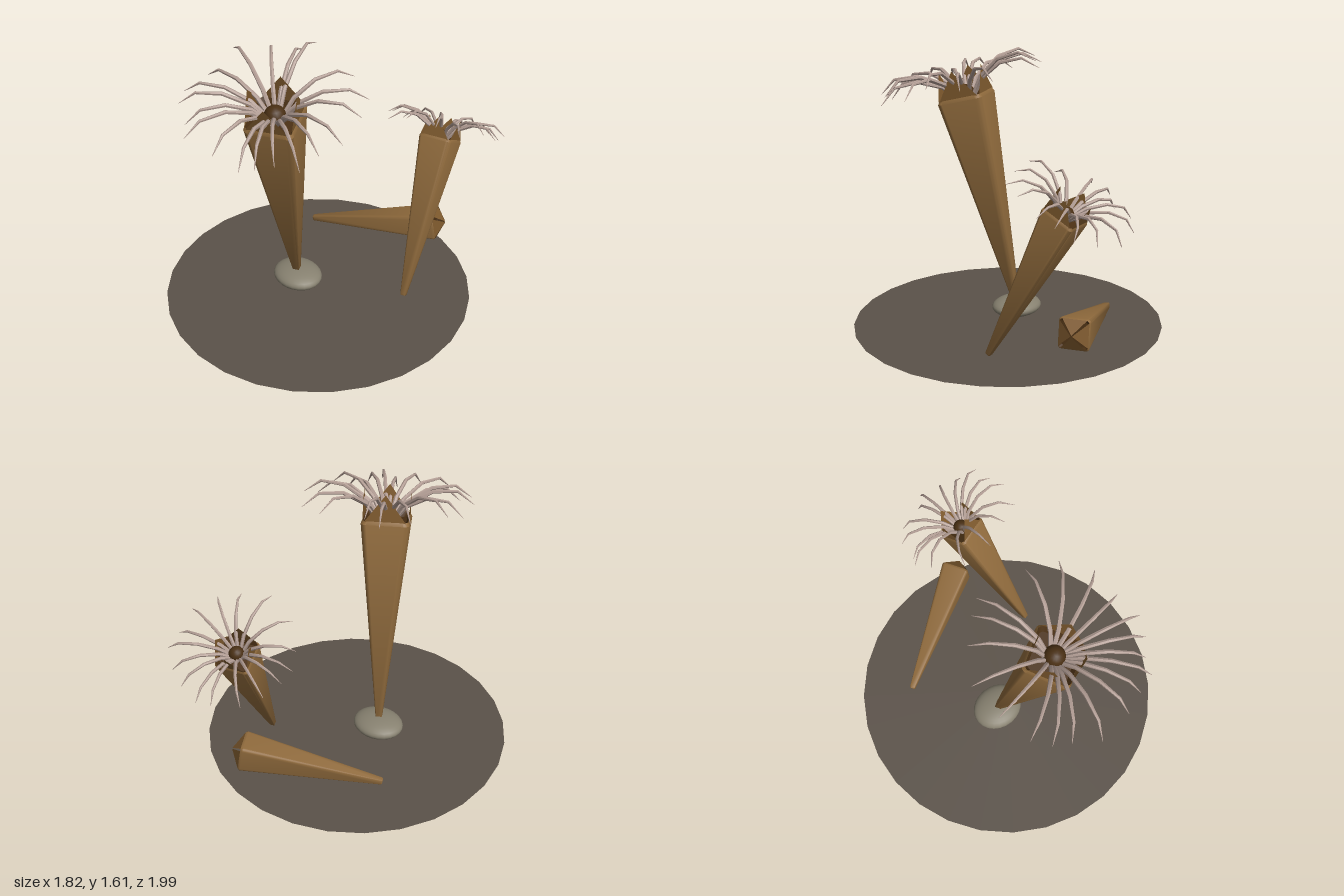
import * as THREE from 'three';
import { mergeGeometries, toCreasedNormals } from 'three/addons/utils/BufferGeometryUtils.js';

const V = (x, y, z) => new THREE.Vector3(x, y, z);
const rad = THREE.MathUtils.degToRad;
const mat = (name, color, side = THREE.FrontSide) => {
  const m = new THREE.MeshStandardMaterial({ color, side });
  m.name = name;
  return m;
};

// Skin a list of closed loops into one surface
function skin(rings, crease) {
  const pos = [];
  const n = rings[0].length;
  for (let i = 0; i < rings.length - 1; i++) {
    for (let j = 0; j < n; j++) {
      const k = (j + 1) % n;
      const a = rings[i][j], b = rings[i][k], c = rings[i + 1][j], d = rings[i + 1][k];
      for (const p of [a, c, b, b, c, d]) pos.push(p.x, p.y, p.z);
    }
  }
  const g = new THREE.BufferGeometry();
  g.setAttribute('position', new THREE.Float32BufferAttribute(pos, 3));
  return toCreasedNormals(g, crease);
}

// Square loop with rounded corners, half width h, at height y
function squareLoop(h, y) {
  const loop = [], r = h * 0.24;
  for (let c = 0; c < 4; c++) {
    const mid = Math.PI / 4 + c * Math.PI / 2;
    const cx = Math.SQRT2 * (h - r) * Math.cos(mid), cz = Math.SQRT2 * (h - r) * Math.sin(mid);
    for (let s = 0; s <= 4; s++) {
      const a = mid + (s / 4 - 0.5) * Math.PI / 2;
      loop.push(V(cx + r * Math.cos(a), y, cz + r * Math.sin(a)));
    }
  }
  return loop;
}

// Bent, tapering tentacle: [radius, height, thickness] along its path
const PATH = [[0.035, -0.03, 0.013], [0.12, 0.08, 0.0125], [0.25, 0.152, 0.011],
  [0.385, 0.158, 0.008], [0.48, 0.085, 0.0012]];

function tentacle(azimuth, scale, stretch, lift) {
  const pts = PATH.map(([r, h]) => V(r * stretch, h + lift * r, 0).multiplyScalar(scale));
  const rings = pts.map((p, i) => {
    const t = pts[Math.min(i + 1, pts.length - 1)].clone().sub(pts[Math.max(i - 1, 0)]).normalize();
    return Array.from({ length: 6 }, (_, j) => {
      const a = j * Math.PI / 3, w = PATH[i][2] * (0.3 + 0.7 * scale);
      return V(p.x + w * Math.cos(a) * t.y, p.y - w * Math.cos(a) * t.x, w * Math.sin(a));
    });
  });
  return skin(rings, 0.7).rotateY(-rad(azimuth));
}

// Triangular flap on one side of the opening
function flap(halfWidth, y, out, apexY, apexOut) {
  const g = new THREE.BufferGeometry();
  g.setAttribute('position', new THREE.Float32BufferAttribute(
    [-halfWidth, y, out, halfWidth, y, out, 0, apexY, apexOut], 3));
  g.computeVertexNormals();
  return g;
}

export function createModel() {
  const model = new THREE.Group();
  const shellMat = mat('tan shell', 0x8f6a3c);
  const flapMat = mat('brown flap', 0x7d592d, THREE.DoubleSide);
  const innerMat = mat('dark brown inside', 0x4a3014);
  const tentacleMat = mat('pale pink tentacle', 0xb39e95);
  const stoneMat = mat('grey stone', 0x878170);
  const floorMat = mat('dark sediment', 0x5b5249, THREE.DoubleSide);

  const add = (parent, name, geometry, material) => {
    const m = new THREE.Mesh(geometry, material);
    m.name = name;
    parent.add(m);
    return m;
  };

  // Sea floor disc and anchoring stone
  add(model, 'seaFloor', new THREE.CircleGeometry(0.908, 28).rotateX(-Math.PI / 2), floorMat)
    .position.set(0, 0.016, 0.087);
  const stone = add(model, 'stone', new THREE.SphereGeometry(1, 24, 16), stoneMat);
  stone.scale.set(0.158, 0.057, 0.135);
  stone.position.set(-0.123, 0.057, 0.142);

  // Four-sided tapering shell from base to rim; corner is the azimuth of one edge
  function shell(name, base, rim, h, corner, tentacles) {
    const g = new THREE.Group();
    g.name = name;
    const axis = rim.clone().sub(base);
    const L = axis.length(), s = h / 0.138, open = tentacles.length > 0;
    g.position.copy(base);
    g.quaternion.setFromUnitVectors(V(0, 1, 0), axis.normalize());
    const roll = -rad(corner - 45);

    const body = [[0, 0], [0.012, 0], [0.016, 0.008], [h, L - 0.02 * s], [h * 0.93, L]];
    add(g, 'shellBody', skin(body.map(([w, y]) => squareLoop(w, y)), 0.6).rotateY(roll), shellMat);
    const lining = [[h * 0.93, L], [h * 0.8, L - 0.03 * s], [0, L - 0.03 * s]];
    add(g, 'lining', skin(lining.map(([w, y]) => squareLoop(w, y)), 0.6).rotateY(roll), innerMat);

    const flaps = [];
    for (let k = 0; k < 4; k++) {
      const f = open
        ? flap(h * 0.85, L - 0.004, h * 0.93, L + 0.155 * s, h * 0.98)
        : flap(h * 0.78, L, h * 0.93, L + 0.055, 0.004);
      flaps.push(f.rotateY(roll + k * Math.PI / 2));
    }
    add(g, 'flaps', mergeGeometries(flaps), flapMat);

    // Mouth and its ring of tentacles
    if (open) {
      const mouth = add(g, 'mouth', new THREE.SphereGeometry(0.06 * s, 16, 10), innerMat);
      mouth.position.y = L;
      const arms = tentacles.map((a, i) =>
        tentacle(a, s, 1 + 0.04 * Math.sin(i * 2.4), 0.06 * Math.sin(i * 4.1 + 1)));
      add(g, 'tentacles', mergeGeometries(arms), tentacleMat).position.y = L;
    }
    model.add(g);
  }

  shell('tallShell', V(-0.126, 0.06, 0.142), V(0.03, 1.33, 0.41), 0.138, 16,
    [14, 27, 41, 52, 63, 81, 105, 122, 136, 149, 172, 196, 221, 241, 250, 289, 312, 334, 355]);
  shell('shortShell', V(0.425, 0.018, -0.21), V(0.275, 0.88, -0.64), 0.1, 30,
    [12, 37, 60, 89, 119, 153, 172, 185, 206, 227, 255, 266, 289, 310, 329, 347]);
  shell('fallenShell', V(-0.456, 0.09, -0.293), V(0.25, 0.232, -0.685), 0.086, 16, []);

  return model;
}
